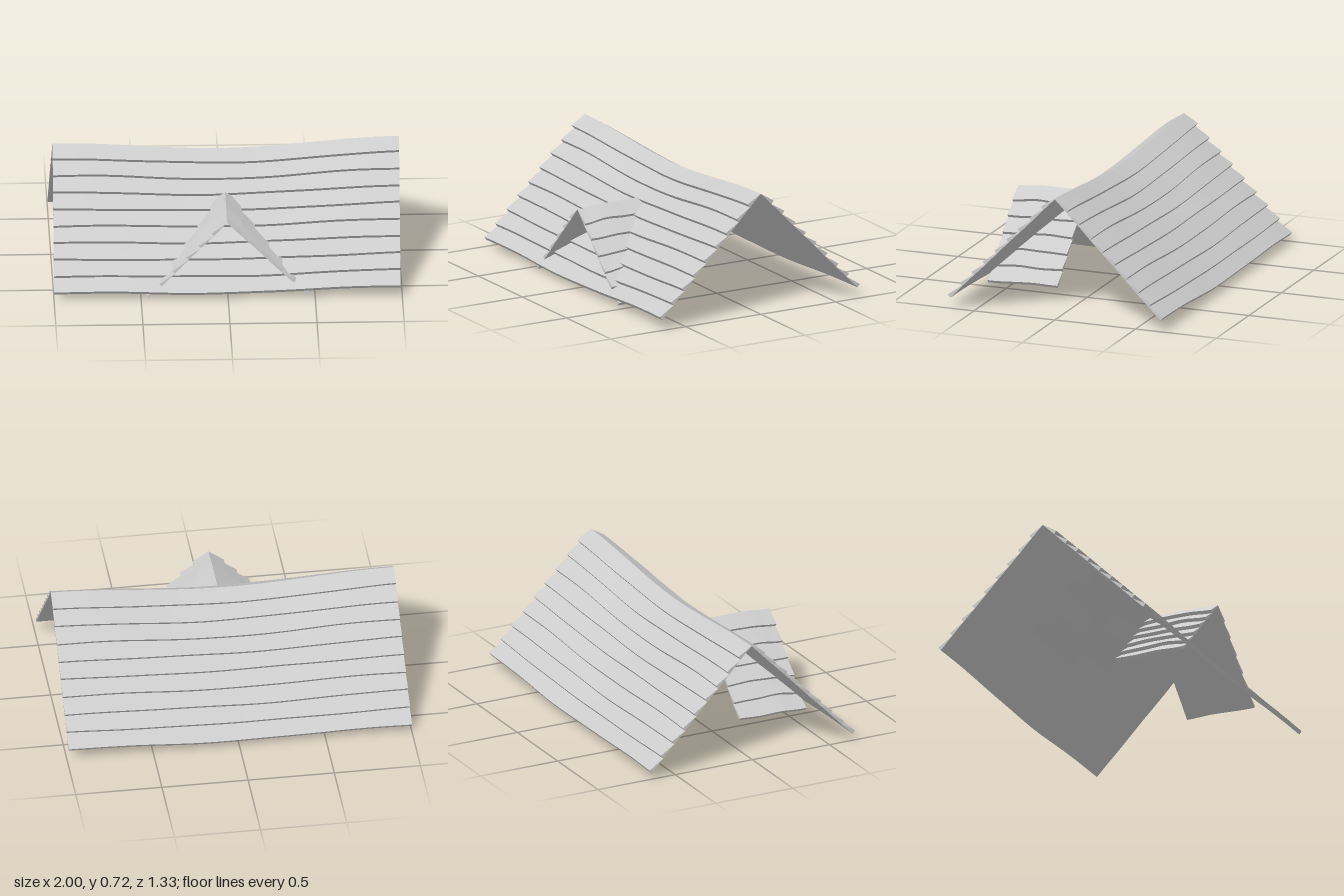
import * as THREE from 'three';

const shingle = new THREE.MeshStandardMaterial({ color: 0xcccccc });
shingle.name = 'shingle grey';

// One wedge-shaped course: a = upper edge, t = raised lower lip, b = lip underside.
// Each is a function of u (0..1) along the course; flip mirrors the winding.
function courseGeometry(a, t, b, steps, flip) {
  const pos = [], index = [];
  const tri = (i, j, k) => (flip ? index.push(i, k, j) : index.push(i, j, k));
  const strip = (p, q) => {
    const o = pos.length / 3;
    for (let i = 0; i <= steps; i++) pos.push(...p(i / steps), ...q(i / steps));
    for (let i = 0; i < steps; i++) {
      const k = o + i * 2;
      tri(k, k + 1, k + 2);
      tri(k + 1, k + 3, k + 2);
    }
  };
  const cap = (u, p, q, r) => {
    const o = pos.length / 3;
    pos.push(...p(u), ...q(u), ...r(u));
    tri(o, o + 1, o + 2);
  };
  strip(a, t); // weathered face
  strip(t, b); // lip
  strip(b, a); // underside
  cap(1, a, t, b);
  cap(0, a, b, t);
  const g = new THREE.BufferGeometry();
  g.setAttribute('position', new THREE.Float32BufferAttribute(pos, 3));
  g.setIndex(index);
  g.computeVertexNormals();
  return g;
}

// A pitched roof with its ridge along x, made of stepped courses on both sides.
function pitchedRoof(name, o) {
  const roof = new THREE.Group();
  roof.name = name;
  for (const side of [1, -1]) {
    const slope = new THREE.Group();
    slope.name = name + (side > 0 ? 'SlopeA' : 'SlopeB');
    // Point on course line n, lifted off the base plane by the lip
    const point = (n, u, lip) => {
      const f = n / o.rows;
      const x = (u - 0.5) * o.length + o.skew * (1 - 2 * f);
      const ph = n * 1.9 + side * 0.8;
      const wob = n === 0 ? 0 : o.wobble * (Math.sin(x * o.freq + ph) + 0.5 * Math.sin(x * o.freq * 1.9 - ph));
      const y = o.ridge - f * o.drop + o.sag(x, f) + wob + lip * o.lipY;
      const z = f * o.run + lip * o.lipZ - wob * 0.4;
      return [x, y, z * side];
    };
    for (let n = 0; n < o.rows; n++) {
      const g = courseGeometry(
        (u) => point(n, u, 0),
        (u) => point(n + 1, u, 1),
        (u) => point(n + 1, u, 0),
        o.steps, side < 0);
      const mesh = new THREE.Mesh(g, shingle);
      mesh.name = 'shingleCourse' + (n + 1);
      slope.add(mesh);
    }
    roof.add(slope);
  }
  return roof;
}

export function createModel() {
  const model = new THREE.Group();
  model.name = 'saggingRoof';

  // Main roof: the ridge dips in the middle, the eaves less so
  model.add(pitchedRoof('mainRoof', {
    rows: 9, length: 1.99, steps: 32, skew: 0.005,
    ridge: 0.71, drop: 0.659, run: 0.65, lipY: 0.019, lipZ: 0.015,
    wobble: 0.0022, freq: 5,
    sag: (x, f) => 0.011 * x - Math.max(0.02, 0.052 - 0.055 * f) * (0.5 + 0.5 * Math.cos(Math.PI * x)),
  }));

  // Dormer roof: ridge turned to face the front, running back under the main slope
  const dormer = pitchedRoof('dormerRoof', {
    rows: 6, length: 0.43, steps: 10, skew: 0,
    ridge: 0.478, drop: 0.465, run: 0.455, lipY: 0.016, lipZ: 0.013,
    wobble: 0.0025, freq: 14,
    sag: (x) => -0.013 * THREE.MathUtils.smoothstep(-x, 0.04, 0.215),
  });
  dormer.rotation.y = Math.PI / 2;
  dormer.rotation.order = 'ZYX';
  dormer.rotation.z = 0.012;
  dormer.position.set(0, 0.003, 0.415);
  model.add(dormer);

  return model;
}
